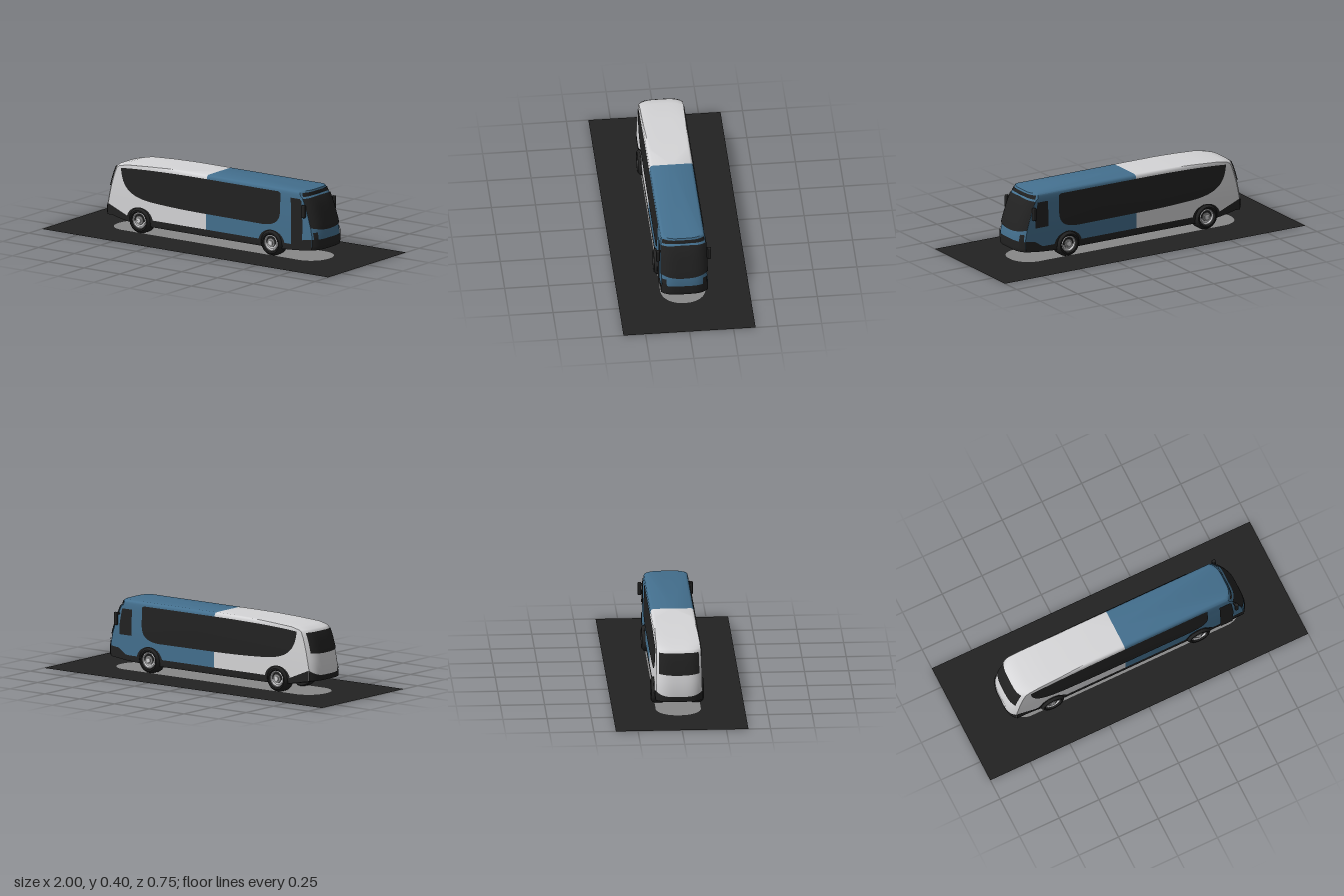
import * as THREE from 'three';
import { toCreasedNormals } from 'three/addons/utils/BufferGeometryUtils.js';
import { RoundedBoxGeometry } from 'three/addons/geometries/RoundedBoxGeometry.js';

const mat = (name, color, side = THREE.FrontSide) => {
  const m = new THREE.MeshStandardMaterial({ color, side });
  m.name = name;
  return m;
};

// horizontal slices of the body: [y, rear x, front x, half width]
const LEVELS = [
  [0.045, -0.52, 0.50, 0.128], [0.055, -0.60, 0.64, 0.13], [0.067, -0.67, 0.74, 0.13],
  [0.085, -0.747, 0.744, 0.13], [0.14, -0.75, 0.745, 0.13], [0.20, -0.738, 0.733, 0.13],
  [0.25, -0.727, 0.717, 0.129], [0.30, -0.713, 0.70, 0.1275], [0.33, -0.703, 0.688, 0.1268],
  [0.36, -0.69, 0.674, 0.126], [0.37, -0.675, 0.66, 0.125], [0.382, -0.62, 0.657, 0.124],
  [0.391, -0.47, 0.655, 0.121], [0.397, -0.33, 0.652, 0.115], [0.40, -0.20, 0.642, 0.107],
];
const SKIRT = 3, SPLIT = -0.03, BOW = 0.035;

function level(y) {
  let i = 0;
  while (i < LEVELS.length - 2 && LEVELS[i + 1][0] < y) i++;
  const a = LEVELS[i], b = LEVELS[i + 1];
  const k = THREE.MathUtils.clamp((y - a[0]) / (b[0] - a[0]), 0, 1);
  return a.map((v, j) => v + (b[j] - v) * k);
}

// point on the bowed end wall; dir +1 front, -1 rear; t runs across the width
function endPoint(y, t, dir, off = 0) {
  const [, rear, front, hw] = level(y);
  const x = dir > 0 ? front : rear;
  return [x - dir * (BOW * t ** 4 - off), y, t * (hw + off)];
}

function surface(pos, idx) {
  const g = new THREE.BufferGeometry();
  g.setAttribute('position', new THREE.Float32BufferAttribute(pos, 3));
  g.setIndex(idx);
  return toCreasedNormals(g, 0.6);
}

// half of the body shell between two slices, closed by a fan at the top or bottom
function shell(i0, i1, dir, capTop, capBottom) {
  const pos = [], idx = [], n = 24, row = n + 3;
  for (let i = i0; i <= i1; i++) {
    const [y, , , hw] = LEVELS[i];
    pos.push(SPLIT, y, dir * hw);
    for (let k = 0; k <= n; k++) pos.push(...endPoint(y, dir * (1 - 2 * k / n), dir));
    pos.push(SPLIT, y, -dir * hw);
  }
  const rows = i1 - i0;
  for (let r = 0; r < rows; r++)
    for (let k = 0; k < row - 1; k++) {
      const a = r * row + k, b = a + row;
      idx.push(a, a + 1, b, a + 1, b + 1, b);
    }
  const c = pos.length / 3;
  pos.push(SPLIT, LEVELS[i1][0], 0, SPLIT, LEVELS[i0][0], 0);
  for (let k = 0; k < row - 1; k++) {
    if (capTop) idx.push(c, rows * row + k, rows * row + k + 1);
    if (capBottom) idx.push(c + 1, k + 1, k);
  }
  return surface(pos, idx);
}

// thin skin on the front or rear wall; y0 and y1 are functions of t
function endPlate(dir, t0, t1, y0, y1, off = 0.004) {
  const pos = [], idx = [], n = 20, m = 8;
  for (let j = 0; j <= m; j++)
    for (let k = 0; k <= n; k++) {
      const t = t0 + (t1 - t0) * k / n;
      pos.push(...endPoint(y0(t) + (y1(t) - y0(t)) * j / m, t, dir, off));
    }
  for (let j = 0; j < m; j++)
    for (let k = 0; k < n; k++) {
      const a = j * (n + 1) + k, b = a + n + 1;
      if (dir > 0) idx.push(a, b, a + 1, a + 1, b, b + 1);
      else idx.push(a, a + 1, b, a + 1, b + 1, b);
    }
  return surface(pos, idx);
}

// thin skin on a side wall, cut from a shape in x and y
function sidePlate(shape, side, off = 0.004) {
  const g = new THREE.ShapeGeometry(shape, 16), p = g.attributes.position;
  for (let i = 0; i < p.count; i++) p.setZ(i, side * (level(p.getY(i))[3] + off));
  g.computeVertexNormals();
  return g;
}
const polygon = (pts) => new THREE.Shape(pts.map(([x, y]) => new THREE.Vector2(x, y)));

function stadium(w, h, r) {
  const s = new THREE.Shape();
  s.moveTo(-w + r, -h);
  s.lineTo(w - r, -h).absarc(w - r, -h + r, r, -Math.PI / 2, 0);
  s.absarc(w - r, h - r, r, 0, Math.PI / 2);
  s.absarc(-w + r, h - r, r, Math.PI / 2, Math.PI);
  s.absarc(-w + r, -h + r, r, Math.PI, Math.PI * 1.5);
  return s;
}

export function createModel() {
  const blue = mat('blue paint', 0x44708f);
  const white = mat('white paint', 0xd6d6d8);
  const black = mat('black', 0x222222, THREE.DoubleSide);
  const grey = mat('grey', 0x888888, THREE.DoubleSide);

  const root = new THREE.Group();
  root.name = 'bus';
  const add = (name, geo, m, parent = root) => {
    const mesh = new THREE.Mesh(geo, m);
    mesh.name = name;
    parent.add(mesh);
    return mesh;
  };

  // ground sheet with a pale patch below the bus
  const patch = stadium(0.735, 0.128, 0.12);
  const sheet = polygon([[-1, -0.375], [1, -0.375], [1, 0.375], [-1, 0.375]]);
  sheet.holes.push(new THREE.Path(patch.getPoints(12)));
  add('groundSheet', new THREE.ShapeGeometry(sheet, 12).rotateX(-Math.PI / 2), black);
  add('groundPatch', new THREE.ShapeGeometry(patch, 12).rotateX(-Math.PI / 2), grey);

  // body shell
  const top = LEVELS.length - 1;
  add('frontBody', shell(SKIRT, top, 1, true, false), blue);
  add('rearBody', shell(SKIRT, top, -1, true, false), white);
  add('frontSkirt', shell(0, SKIRT, 1, false, true), black);
  add('rearSkirt', shell(0, SKIRT, -1, false, true), black);

  // front and rear details
  const flat = (y) => () => y;
  add('windshield', endPlate(1, -1, 1, (t) => 0.178 + 0.018 * t * t, (t) => 0.363 - 0.006 * t * t), black);
  add('destinationSign', endPlate(1, -0.93, 0.93, (t) => 0.37 - 0.004 * t * t, flat(0.389)), black);
  add('frontBumper', endPlate(1, -1, 1, flat(0.07), flat(0.13)), black);
  for (const s of [-1, 1])
    add('headlight', endPlate(1, s > 0 ? 0.77 : -0.95, s > 0 ? 0.95 : -0.77, flat(0.12), flat(0.17)), black);
  add('rearWindow', endPlate(-1, -0.86, 0.86, (t) => 0.235 + 0.01 * t * t, flat(0.356)), black);
  add('rearBumper', endPlate(-1, -1, 1, flat(0.08), (t) => 0.115 + 0.03 * t ** 4), black);

  // side details, repeated on both sides
  const glass = new THREE.Shape();
  glass.moveTo(-0.625, 0.36);
  glass.bezierCurveTo(-0.615, 0.25, -0.56, 0.205, -0.42, 0.19);
  glass.quadraticCurveTo(-0.25, 0.178, -0.05, 0.177);
  glass.lineTo(0.36, 0.175);
  glass.bezierCurveTo(0.46, 0.178, 0.486, 0.21, 0.488, 0.27);
  glass.lineTo(0.488, 0.37);
  glass.lineTo(0.475, 0.378);
  glass.lineTo(-0.1, 0.378);
  glass.quadraticCurveTo(-0.45, 0.376, -0.625, 0.36);

  const axles = [-0.49, 0.43];
  for (const s of [-1, 1]) {
    add('sideWindows', sidePlate(glass, s), black);
    add('rearSkirtSweep', sidePlate(polygon([[-0.715, 0.08], [-0.55, 0.08], [-0.58, 0.09], [-0.715, 0.146]]), s), black);
    add('frontSkirtSweep', sidePlate(polygon([[0.5, 0.08], [0.71, 0.08], [0.71, 0.13], [0.65, 0.122], [0.6, 0.088]]), s), black);
    for (const x of axles) {
      const arch = new THREE.Shape();
      arch.absellipse(x, 0.07, 0.092, 0.08, 0, Math.PI);
      add('wheelArch', sidePlate(arch, s, 0.005), black);
    }
    // mirrors
    const mirror = add('mirror', new RoundedBoxGeometry(0.022, 0.075, 0.02, 3, 0.006), black);
    mirror.position.set(0.662, 0.29, s * 0.146);
    const arm = add('mirrorArm', new THREE.BoxGeometry(0.012, 0.01, 0.03), black);
    arm.position.set(0.655, 0.318, s * 0.133);
  }

  // passenger door on one side, driver window on the other
  add('door', sidePlate(polygon([[0.568, 0.06], [0.64, 0.06], [0.648, 0.2], [0.636, 0.345], [0.625, 0.355], [0.562, 0.355]]), 1, 0.006), black);
  add('driverWindow', sidePlate(polygon([[0.56, 0.2], [0.645, 0.2], [0.648, 0.25], [0.63, 0.35], [0.56, 0.35]]), -1), black);

  // wheels
  const lathe = (pts) => toCreasedNormals(
    new THREE.LatheGeometry(pts.map(([r, h]) => new THREE.Vector2(r, h)), 36).rotateX(Math.PI / 2), 0.7);
  const tyre = lathe([[0, 0.078], [0.069, 0.078], [0.075, 0.084], [0.075, 0.126], [0.071, 0.138],
    [0.06, 0.149], [0.052, 0.149], [0.045, 0.138], [0.044, 0.125]]);
  const rim = lathe([[0.046, 0.14], [0.041, 0.141], [0.035, 0.133], [0, 0.133]]);
  const ring = lathe([[0.026, 0.13], [0.025, 0.139], [0.018, 0.141], [0, 0.141]]);
  const hub = lathe([[0.014, 0.138], [0.013, 0.146], [0.009, 0.148], [0, 0.148]]);
  for (const x of axles)
    for (const s of [-1, 1]) {
      const wheel = new THREE.Group();
      wheel.name = 'wheel';
      add('tyre', tyre, black, wheel);
      add('rim', rim, white, wheel);
      add('rimRing', ring, grey, wheel);
      add('hub', hub, white, wheel);
      wheel.position.set(x, 0.075, 0);
      if (s < 0) wheel.rotation.y = Math.PI;
      root.add(wheel);
    }
  return root;
}
